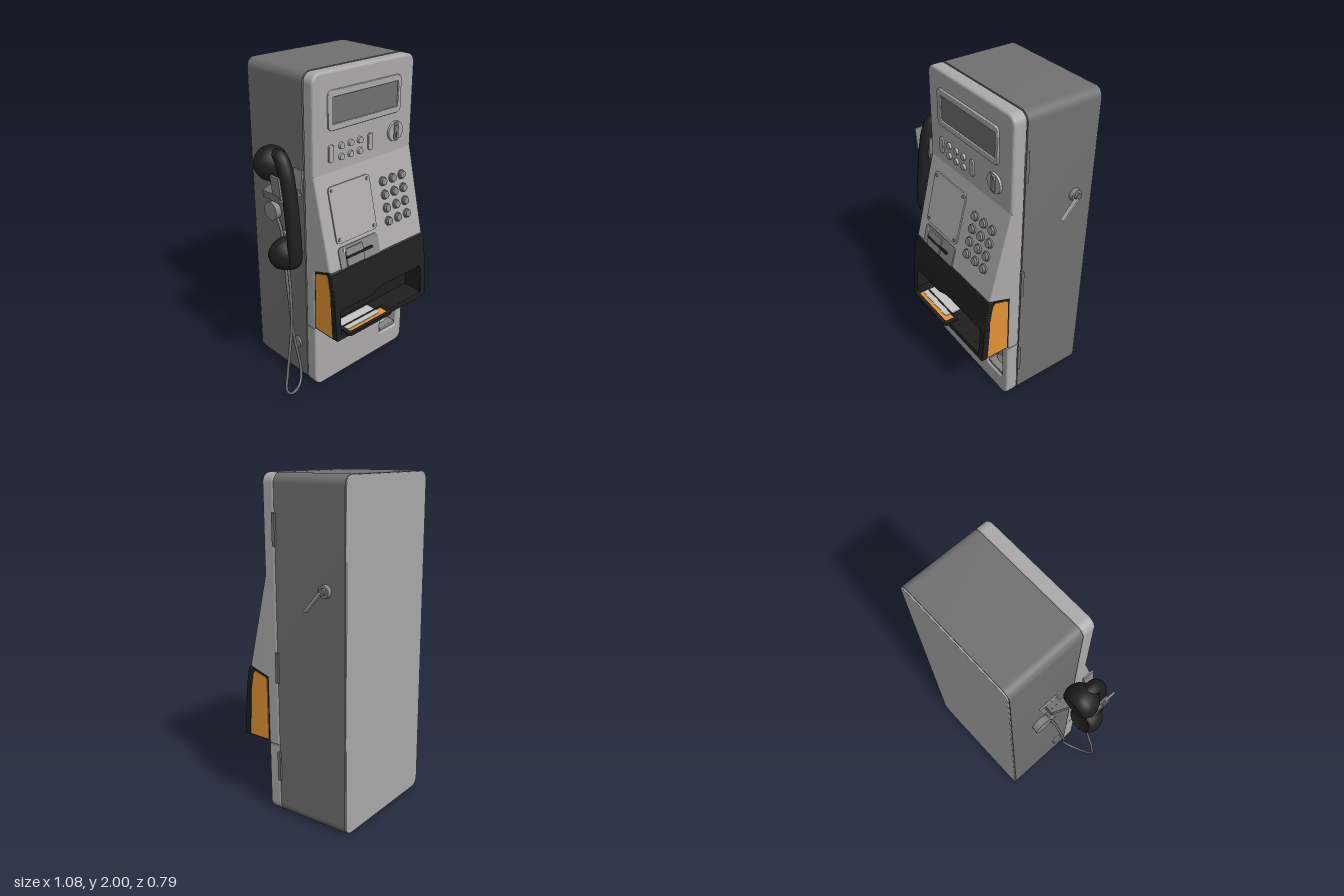
import * as THREE from 'three';
import { toCreasedNormals } from 'three/addons/utils/BufferGeometryUtils.js';

const mat = (name, color) => {
  const m = new THREE.MeshStandardMaterial({ color });
  m.name = name;
  return m;
};

export function createModel() {
  const root = new THREE.Group();
  root.name = 'payPhone';
  const casing = mat('casing grey', 0x707070);
  const panel = mat('panel grey', 0xaba9a9);
  const black = mat('cover black', 0x1f1f1f);
  const orange = mat('orange', 0xe09234);
  const metal = mat('metal grey', 0x868686);
  const light = mat('light grey', 0xc4c4c4);
  const L = -0.3, R = 0.487;

  // ---------- helpers ----------
  const add = (name, geo, m, parent = root, x = 0, y = 0, z = 0) => {
    const mesh = new THREE.Mesh(geo, m);
    mesh.name = name;
    mesh.position.set(x, y, z);
    parent.add(mesh);
    return mesh;
  };
  // rounded rectangle with bottom and top corner radii
  const rr = (x0, y0, x1, y1, b, t = b, S = THREE.Shape) => {
    const s = new S();
    s.moveTo(x0 + b, y0).lineTo(x1 - b, y0);
    if (b) s.absarc(x1 - b, y0 + b, b, -Math.PI / 2, 0);
    s.lineTo(x1, y1 - t);
    if (t) s.absarc(x1 - t, y1 - t, t, 0, Math.PI / 2);
    s.lineTo(x0 + t, y1);
    if (t) s.absarc(x0 + t, y1 - t, t, Math.PI / 2, Math.PI);
    s.lineTo(x0, y0 + b);
    if (b) s.absarc(x0 + b, y0 + b, b, Math.PI, Math.PI * 1.5);
    return s;
  };
  const poly = pts => new THREE.Shape(pts.map(p => new THREE.Vector2(...p)));
  const extrude = (shape, depth, bevel) => new THREE.ExtrudeGeometry(shape, {
    depth: depth - 2 * bevel, bevelEnabled: bevel > 0, bevelSize: bevel,
    bevelThickness: bevel, bevelOffset: -bevel, bevelSegments: 3, curveSegments: 8,
  }).translate(0, 0, bevel);
  // plate facing +z between z0 and z1
  const slab = (name, shape, z0, z1, m, bevel = 0, parent = root) =>
    add(name, toCreasedNormals(extrude(shape, z1 - z0, bevel).translate(0, 0, z0), 0.25), m, parent);
  // side profile of [z, y] points swept from x0 to x1
  const sweepX = (name, pts, x0, x1, m, bevel = 0) => add(name, toCreasedNormals(
    extrude(poly(pts), x1 - x0, bevel).rotateY(-Math.PI / 2).translate(x1, 0, 0), 0.25), m);
  const box = (name, w, h, d, m, x, y, z, parent = root) =>
    add(name, new THREE.BoxGeometry(w, h, d), m, parent, x, y, z);
  // disc or knob along z, or along x
  const disc = (name, r0, r1, len, m, x, y, z, parent = root, axis = 'z', sides = 24) => {
    const g = new THREE.CylinderGeometry(r1, r0, len, sides);
    if (axis === 'z') g.rotateX(Math.PI / 2); else g.rotateZ(-Math.PI / 2);
    return add(name, g, m, parent, x, y, z);
  };
  const tube = (name, pts, r, m, seg = 40, sides = 8) => add(name, new THREE.TubeGeometry(
    new THREE.CatmullRomCurve3(pts.map(p => new THREE.Vector3(...p))), seg, r, sides), m);

  // ---------- casing, back plate and front panels ----------
  slab('casing', rr(L, 0.01, R, 2, 0.055), -0.384, 0.085, casing);
  slab('backPlate', rr(L + 0.002, 0.012, R - 0.002, 1.998, 0.053), -0.393, -0.384, panel, 0.004);
  slab('upperPanel', rr(L, 0.444, R, 2, 0, 0.055), 0.085, 0.168, panel, 0.015);
  const lower = rr(L, 0.01, R, 0.438, 0.055, 0);
  lower.holes.push(rr(0.275, 0.14, 0.43, 0.395, 0.02, 0.03, THREE.Path));
  slab('lowerPanel', lower, 0.085, 0.168, panel, 0.012);
  sweepX('slopedPanel', [[0.12, 0.83], [0.167, 0.845], [0.302, 0.89], [0.167, 1.44], [0.12, 1.44]], L, R, panel, 0.012);
  for (const y of [0.31, 0.92, 1.7]) box('hinge', 0.018, 0.18, 0.02, casing, R + 0.003, y, 0.085);

  // ---------- coin return ----------
  slab('coinReturnBack', rr(0.265, 0.13, 0.44, 0.4, 0.02), 0.088, 0.096, casing);
  slab('coinReturnFlap', rr(0.282, 0.285, 0.423, 0.388, 0.005, 0.025), 0.096, 0.15, metal, 0.006);
  slab('coinReturnLip', rr(0.282, 0.147, 0.423, 0.175, 0.01, 0.005), 0.096, 0.16, metal, 0.005);
  const scoop = disc('coinReturnScoop', 0.038, 0.038, 0.012, light, 0.352, 0.203, 0.115);
  scoop.scale.y = 0.7;

  // ---------- display ----------
  const frame = rr(-0.197, 1.675, 0.37, 1.897, 0.03);
  frame.holes.push(rr(-0.165, 1.71, 0.345, 1.86, 0.005, 0.005, THREE.Path));
  slab('displayFrame', frame, 0.16, 0.18, panel, 0.004);
  slab('displayScreen', rr(-0.17, 1.705, 0.35, 1.865, 0.005), 0.164, 0.172, casing);

  // ---------- function buttons and coin slot ----------
  for (const x of [-0.175, 0.13])
    slab('sideButton', rr(x - 0.018, 1.494, x + 0.018, 1.596, 0.016), 0.16, 0.178, panel, 0.003);
  for (const x of [-0.095, -0.024, 0.048]) for (const y of [1.575, 1.51])
    disc('functionButton', 0.021, 0.018, 0.022, panel, x, y, 0.171);
  disc('coinDial', 0.064, 0.06, 0.02, panel, 0.338, 1.56, 0.17);
  slab('coinSlotBlock', rr(0.32, 1.51, 0.356, 1.615, 0.012), 0.17, 0.188, metal, 0.004);
  box('coinSlot', 0.012, 0.08, 0.004, casing, 0.338, 1.562, 0.188);

  // ---------- parts on the sloped panel ----------
  const slope = new THREE.Group();
  slope.name = 'slopedParts';
  slope.position.set(0, 0.89, 0.302);
  slope.rotation.x = -0.241;
  slope.scale.y = 1.03;
  root.add(slope);
  slab('instructionCard', rr(-0.22, 0.145, 0.102, 0.47, 0.022), -0.005, 0.009, panel, 0, slope);
  for (const x of [-0.197, 0.079]) for (const y of [0.168, 0.447])
    disc('cardScrew', 0.011, 0.009, 0.008, metal, x, y, 0.01, slope, 'z', 12);
  for (const x of [0.21, 0.292, 0.372]) for (const y of [0.395, 0.315, 0.235, 0.155]) {
    disc('keyRim', 0.029, 0.028, 0.012, metal, x, y, 0.003, slope, 'z', 16);
    disc('key', 0.026, 0.021, 0.02, metal, x, y, 0.01, slope, 'z', 16);
  }
  slab('cardReader', rr(-0.217, 0.0, 0.1, 0.122, 0, 0.02), -0.005, 0.006, metal, 0, slope);
  slab('cardReaderBlock', rr(-0.17, 0.0, -0.032, 0.105, 0, 0.01), 0, 0.014, metal, 0.003, slope);
  box('cardSlot', 0.21, 0.014, 0.012, black, -0.066, 0.055, 0.011, slope);
  disc('readerLight', 0.011, 0.011, 0.006, light, -0.175, 0.1, 0.007, slope, 'z', 12);

  // ---------- projecting tray: black shell with orange cheek plates ----------
  const cheek = [[0.14, 0.45], [0.33, 0.45], [0.318, 0.6], [0.305, 0.73], [0.28, 0.878], [0.165, 0.842], [0.14, 0.834]];
  const inset = [[0.174, 0.46], [0.318, 0.46], [0.314, 0.6], [0.301, 0.74], [0.28, 0.85], [0.264, 0.867], [0.19, 0.844], [0.174, 0.83]];
  sweepX('leftCheek', cheek, 0.452, R - 0.005, black);
  sweepX('rightCheek', cheek, L + 0.005, -0.265, black);
  sweepX('leftCheekPlate', inset, R - 0.008, R - 0.001, orange);
  sweepX('rightCheekPlate', inset, L + 0.001, L + 0.008, orange);
  sweepX('trayUpperBlock', [[0.14, 0.68], [0.312, 0.68], [0.303, 0.74], [0.28, 0.878], [0.14, 0.834]], -0.27, 0.456, black);
  box('trayBack', 0.72, 0.235, 0.06, black, 0.093, 0.57, 0.185);
  box('trayFloor', 0.72, 0.03, 0.18, black, 0.093, 0.467, 0.24);
  sweepX('coverTop', [[0.302, 0.69], [0.3, 0.76], [0.272, 0.885], [0.3, 0.893], [0.312, 0.882], [0.327, 0.8], [0.342, 0.69]],
    L, R + 0.003, black, 0.005);
  // lower cover leans outward towards its bottom edge
  const cover = rr(L, 0.45, R + 0.003, 0.692, 0.012, 0);
  const hole = [[-0.258, 0.485], [0.445, 0.485], [0.445, 0.655], [0.43, 0.675], [0.13, 0.675], [0.07, 0.668], [0.0, 0.642], [-0.245, 0.642], [-0.258, 0.63]];
  cover.holes.push(new THREE.Path(hole.map(p => new THREE.Vector2(...p))));
  const coverGeo = extrude(cover, 0.04, 0.003);
  const cp = coverGeo.attributes.position;
  for (let i = 0; i < cp.count; i++) cp.setZ(i, cp.getZ(i) + 0.302 + (0.69 - cp.getY(i)) * 0.07);
  add('coverFront', toCreasedNormals(coverGeo, 0.25), black);
  // scoop lip standing out of the opening: raised rim, orange lining, light floor
  const flat = (name, shape, y, h, m) => add(name, extrude(shape, h, 0).rotateX(-Math.PI / 2), m, root, 0, y, 0);
  const rim = rr(-0.23, -0.396, 0.142, -0.3, 0.025, 0);
  rim.holes.push(rr(-0.205, -0.373, 0.117, -0.31, 0.015, 0, THREE.Path));
  flat('trayLip', rim, 0.476, 0.018, black);
  flat('trayLipLining', rr(-0.21, -0.378, 0.122, -0.305, 0.015, 0), 0.478, 0.009, orange);
  flat('trayLipInset', rr(-0.2, -0.346, 0.075, -0.235, 0.02, 0), 0.484, 0.007, light);

  // ---------- lock and key on the left side ----------
  disc('lock', 0.038, 0.034, 0.028, metal, R + 0.01, 1.405, -0.26, root, 'x');
  disc('lockCore', 0.02, 0.02, 0.04, casing, R + 0.02, 1.405, -0.26, root, 'x');
  const key = box('lockHandle', 0.026, 0.15, 0.014, panel, R + 0.038, 1.345, -0.205);
  key.rotation.x = -0.73;

  // ---------- handset ----------
  const hx = -0.44;
  tube('handsetHandle', [[1.55, 0.0], [1.56, 0.06], [1.49, 0.105], [1.36, 0.132], [1.2, 0.152], [1.07, 0.163], [0.97, 0.156], [0.94, 0.11]]
    .map(([y, z]) => [hx, y, z]), 0.042, black, 40, 14);
  const cupProfile = [[0, -0.07], [0.062, -0.07], [0.072, -0.077], [0.088, -0.064], [0.1, -0.03], [0.098, 0.005], [0.08, 0.04], [0.05, 0.065], [0, 0.075]]
    .map(p => new THREE.Vector2(...p));
  const cupGeo = toCreasedNormals(new THREE.LatheGeometry(cupProfile, 32).rotateX(Math.PI / 2), 0.8);
  add('earpiece', cupGeo, black, root, hx, 1.51, 0.0).rotation.x = -0.1;
  add('mouthpiece', cupGeo, black, root, hx, 0.985, 0.095).rotation.x = 0.3;

  // ---------- cradle on the right side ----------
  sweepX('cradlePlate', [[-0.19, 1.385], [-0.16, 1.25], [-0.12, 1.24], [-0.05, 1.35], [-0.06, 1.385]], L - 0.012, L + 0.002, metal);
  box('cradleBracket', 0.045, 0.05, 0.08, casing, L - 0.02, 1.358, -0.11);
  // fork opening to the front; the shape's second axis runs backwards
  const arm = poly([[-0.33, 0.15], [-0.33, 0.07], [-0.36, -0.04], [-0.36, -0.14], [-0.39, -0.14], [-0.39, -0.06],
    [-0.49, -0.06], [-0.49, -0.14], [-0.52, -0.14], [-0.52, 0.0], [-0.4, 0.05], [-0.36, 0.15]]);
  flat('cradleArm', arm, 1.34, 0.04, casing);
  for (const s of [-1, 1]) {
    const prong = box('cradleProng', 0.012, 0.13, 0.07, metal, hx + s * 0.075, 1.425, 0.115);
    prong.rotation.z = -s * 0.12;
  }

  // ---------- cord and its fittings ----------
  disc('cordBoss', 0.058, 0.055, 0.04, metal, L - 0.02, 1.13, -0.18, root, 'x');
  disc('cordCollar', 0.03, 0.03, 0.022, metal, L - 0.008, 0.99, -0.09, root, 'x');
  disc('sideLock', 0.04, 0.036, 0.016, metal, L - 0.006, 0.27, 0.0, root, 'x');
  tube('cord', [[hx, 0.92, 0.1], [-0.437, 0.75, 0.11], [-0.455, 0.5, 0.13], [-0.51, 0.22, 0.15], [-0.52, 0.09, 0.15],
    [-0.46, 0.024, 0.13], [-0.37, 0.02, 0.09], [-0.333, 0.09, 0.06], [-0.35, 0.35, 0.02], [-0.345, 0.65, -0.03],
    [-0.33, 0.93, -0.08], [-0.32, 1.04, -0.11], [-0.32, 1.12, -0.16]], 0.009, casing, 120, 8);
  return root;
}
